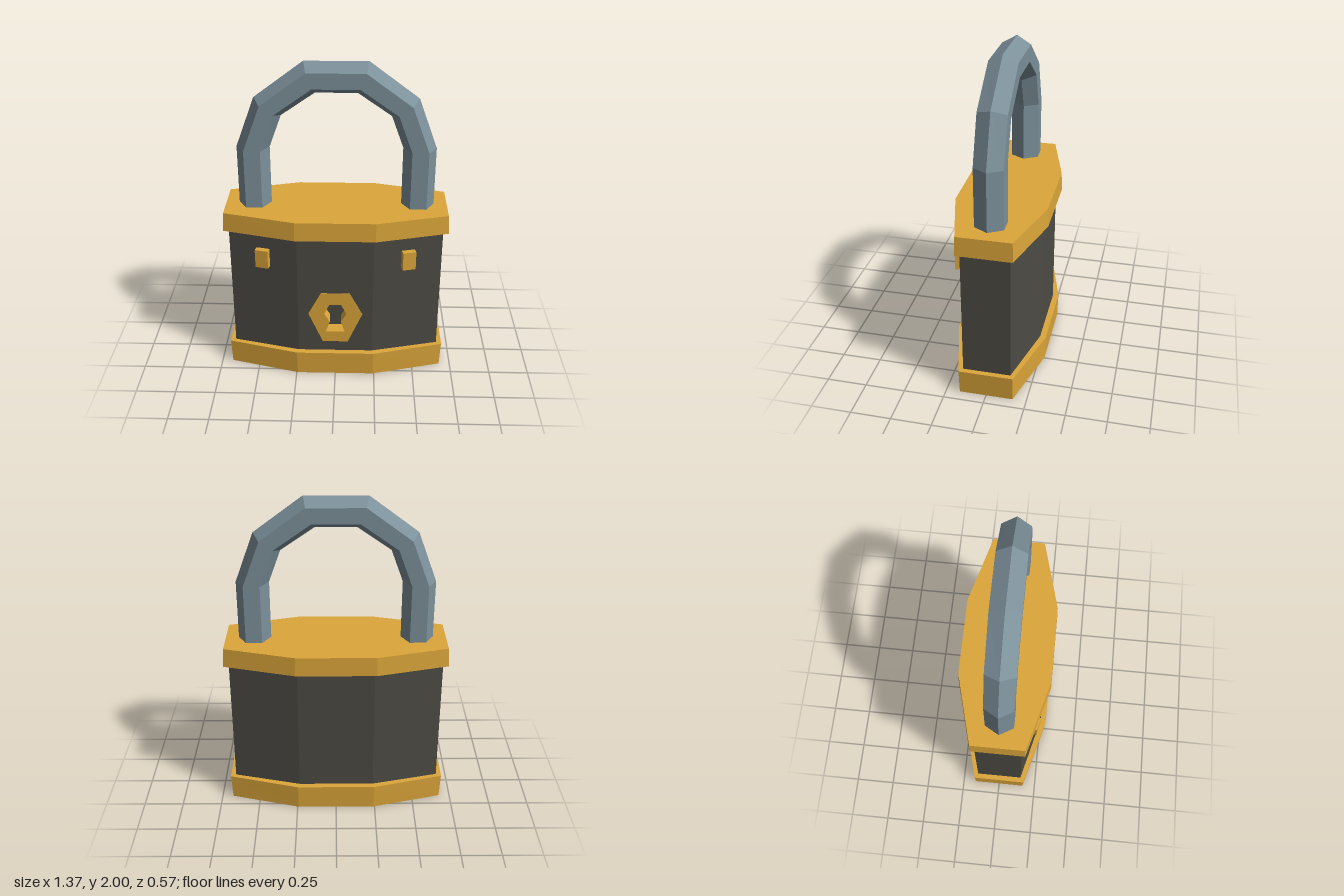
import * as THREE from 'three';

const gold = new THREE.MeshStandardMaterial({ color: 0xdca63a, flatShading: true });
const iron = new THREE.MeshStandardMaterial({ color: 0x4d4b44, flatShading: true });
const steel = new THREE.MeshStandardMaterial({ color: 0x7d919b, flatShading: true });

const toShape = (pts) => new THREE.Shape(pts.map(([x, y]) => new THREE.Vector2(x, y)));
const toPath = (pts) => new THREE.Path(pts.map(([x, y]) => new THREE.Vector2(x, y)));
// Completes a right-hand half outline by mirroring it across x = 0
const mirrored = (half) => [...half, ...half.map(([x, y]) => [-x, y]).reverse()];

function addMesh(parent, name, geometry, material) {
  const mesh = new THREE.Mesh(geometry, material);
  mesh.name = name;
  parent.add(mesh);
  return mesh;
}

// Extrudes a plan outline upwards from y0 to y1
function upright(pts, y0, y1) {
  const geo = new THREE.ExtrudeGeometry(toShape(pts), { depth: y1 - y0, bevelEnabled: false });
  return geo.rotateX(-Math.PI / 2).translate(0, y0, 0);
}

// Extrudes a front outline towards +z from z0 to z1, pierced by a hole
function panel(pts, hole, z0, z1) {
  const shape = toShape(pts);
  shape.holes.push(toPath(hole));
  return new THREE.ExtrudeGeometry(shape, { depth: z1 - z0, bevelEnabled: false }).translate(0, 0, z0);
}

// Eight-sided trim band, slightly narrower at its outer face
function trimBand(y0, y1, outerY) {
  const outline = mirrored([[0.245, -0.287], [0.687, -0.168], [0.687, 0.168], [0.245, 0.287]]);
  const geo = upright(outline, y0, y1);
  const p = geo.attributes.position;
  for (let i = 0; i < p.count; i++) {
    if (Math.abs(p.getY(i) - outerY) < 1e-4) {
      p.setX(i, p.getX(i) * 0.99);
      p.setZ(i, p.getZ(i) * 0.985);
    }
  }
  geo.computeVertexNormals();
  return geo;
}

// Hexagonal bar swept between an outer and an inner arch
function shackleGeometry() {
  const outer = [[0.6, 1.08], [0.6, 1.47], [0.485, 1.78], [0.19, 2.0]];
  const inner = [[0.4, 1.08], [0.4, 1.47], [0.327, 1.67], [0.125, 1.81]];
  const section = [[0, 0], [0.25, 0.087], [0.75, 0.087], [1, 0], [0.75, -0.087], [0.25, -0.087]];
  const outs = mirrored(outer);
  const ins = mirrored(inner);
  const rings = outs.map(([ox, oy], i) =>
    section.map(([t, z]) => [ox + (ins[i][0] - ox) * t, oy + (ins[i][1] - oy) * t, z]));
  const verts = [];
  for (let i = 0; i < rings.length - 1; i++) {
    for (let j = 0; j < 6; j++) {
      const k = (j + 1) % 6;
      const a = rings[i][j], b = rings[i][k], c = rings[i + 1][k], d = rings[i + 1][j];
      verts.push(...a, ...d, ...c, ...a, ...c, ...b);
    }
  }
  const geo = new THREE.BufferGeometry();
  geo.setAttribute('position', new THREE.Float32BufferAttribute(verts, 3));
  geo.computeVertexNormals();
  return geo;
}

export function createModel() {
  const group = new THREE.Group();
  group.name = 'padlock';

  const plateOutline = mirrored([[0.08, 0.23], [0.17, 0.44], [0.09, 0.592]]);
  const keyhole = mirrored([[0.06, 0.305], [0.035, 0.38], [0.07, 0.44], [0.037, 0.507]]);

  // Body: faceted core with a notch, filled by the front panel that holds the lock plate
  const notchZ = 0.17;
  const core = mirrored([[0.235, -notchZ], [0.235, -0.25], [0.655, -0.147], [0.655, 0.147], [0.235, 0.25]]);
  addMesh(group, 'body', upright(core, 0.1, 1.04), iron);
  const front = mirrored([[0.235, 0.1], [0.235, 1.04]]);
  addMesh(group, 'frontPanel', panel(front, plateOutline, notchZ, 0.25), iron);

  // Lock plate with its recessed keyhole
  addMesh(group, 'keyholePlate', panel(plateOutline, keyhole, notchZ, 0.253), gold);

  // Trim bands
  addMesh(group, 'bottomTrim', trimBand(0, 0.16, 0), gold);
  addMesh(group, 'topTrim', trimBand(0.98, 1.1, 1.1), gold);

  // Studs on the angled front faces
  for (const side of [-1, 1]) {
    const stud = addMesh(group, side > 0 ? 'leftStud' : 'rightStud', new THREE.BoxGeometry(0.082, 0.12, 0.06), gold);
    stud.position.set(side * 0.445, 0.82, 0.205);
    stud.rotation.y = side * 0.245;
  }

  // Shackle
  addMesh(group, 'shackle', shackleGeometry(), steel);
  return group;
}
